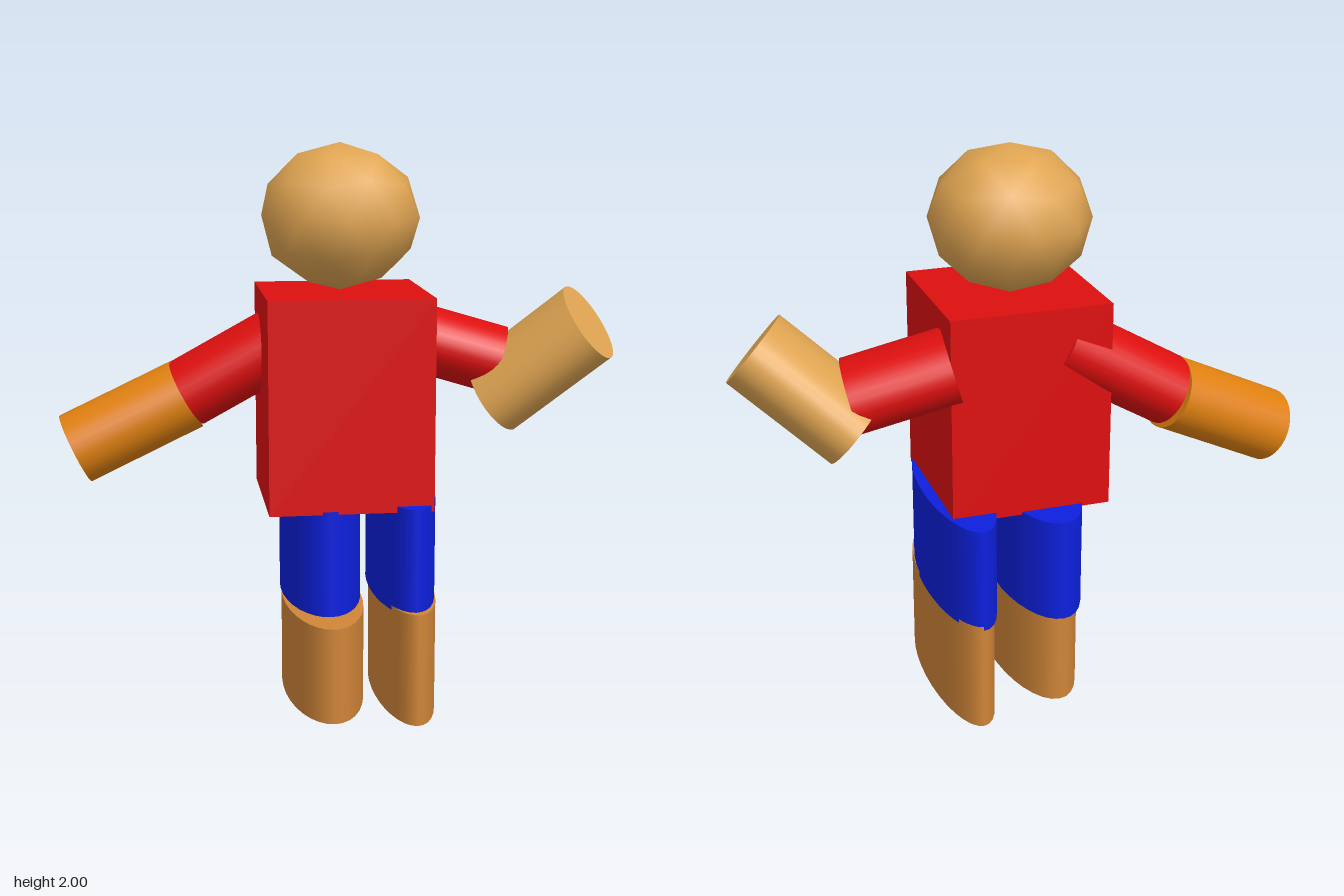
import * as THREE from 'three';

function mat(name, color) {
  const m = new THREE.MeshStandardMaterial({ color });
  m.name = name;
  return m;
}

export function createModel() {
  const model = new THREE.Group();
  model.name = 'blockFigure';
  const red = mat('red', 0xdd0f0f);
  const blue = mat('blue', 0x0d20dd);
  const brown = mat('brown', 0xd08538);
  const orange = mat('orange', 0xdf8010);
  const tan = mat('tan', 0xe0a552);

  const add = (name, geometry, material) => {
    const mesh = new THREE.Mesh(geometry, material);
    mesh.name = name;
    model.add(mesh);
    return mesh;
  };

  // Upright oval cylinder for leg segments
  const leg = (name, material, x0, x1, y0, y1, z0, z1) => {
    const g = new THREE.CylinderGeometry(1, 1, 1, 32);
    g.scale((x1 - x0) / 2, y1 - y0, (z1 - z0) / 2);
    add(name, g, material).position.set((x0 + x1) / 2, (y0 + y1) / 2, (z0 + z1) / 2);
  };

  // Oval cylinder between two points; its wide axis lies towards z
  const limb = (name, material, from, to, thin, wide) => {
    const a = new THREE.Vector3(...from), b = new THREE.Vector3(...to);
    const axis = b.clone().sub(a);
    const g = new THREE.CylinderGeometry(1, 1, 1, 32);
    g.scale(thin, axis.length(), wide);
    axis.normalize();
    const side = new THREE.Vector3().crossVectors(axis, new THREE.Vector3(0, 0, 1)).normalize();
    const depth = new THREE.Vector3().crossVectors(side, axis);
    const mesh = add(name, g, material);
    mesh.quaternion.setFromRotationMatrix(new THREE.Matrix4().makeBasis(side, axis, depth));
    mesh.position.copy(a).add(b).multiplyScalar(0.5);
  };

  // Torso
  add('torso', new THREE.BoxGeometry(0.572, 0.74, 0.555), red).position.set(0.003, 1.12, 0.006);

  // Head: coarse smooth ball with a vertex at the crown
  const head = new THREE.IcosahedronGeometry(1, 1);
  head.rotateZ(Math.atan(2 / (1 + Math.sqrt(5))));
  head.scale(0.281, 0.255, 0.288);
  add('head', head, tan).position.set(-0.003, 1.745, -0.007);

  // Legs
  leg('rightUpperLeg', blue, -0.215, 0.07, 0.385, 0.76, -0.4, 0.29);
  leg('rightLowerLeg', brown, -0.215, 0.07, 0.035, 0.377, -0.37, 0.4);
  leg('leftUpperLeg', blue, 0.106, 0.331, 0.39, 0.772, -0.4, 0.34);
  leg('leftLowerLeg', brown, 0.116, 0.33, 0, 0.405, -0.4, 0.37);

  // Arms
  limb('rightUpperArm', red, [-0.14, 1.33, -0.125], [-0.54, 1.105, -0.16], 0.126, 0.16);
  limb('rightForearm', orange, [-0.54, 1.1, -0.169], [-0.943, 0.912, -0.154], 0.131, 0.151);
  limb('leftUpperArm', red, [0.26, 1.303, -0.178], [0.595, 1.208, -0.115], 0.125, 0.166);
  limb('leftForearm', tan, [0.58, 1.085, -0.115], [0.89, 1.363, 0.024], 0.142, 0.222);

  return model;
}
